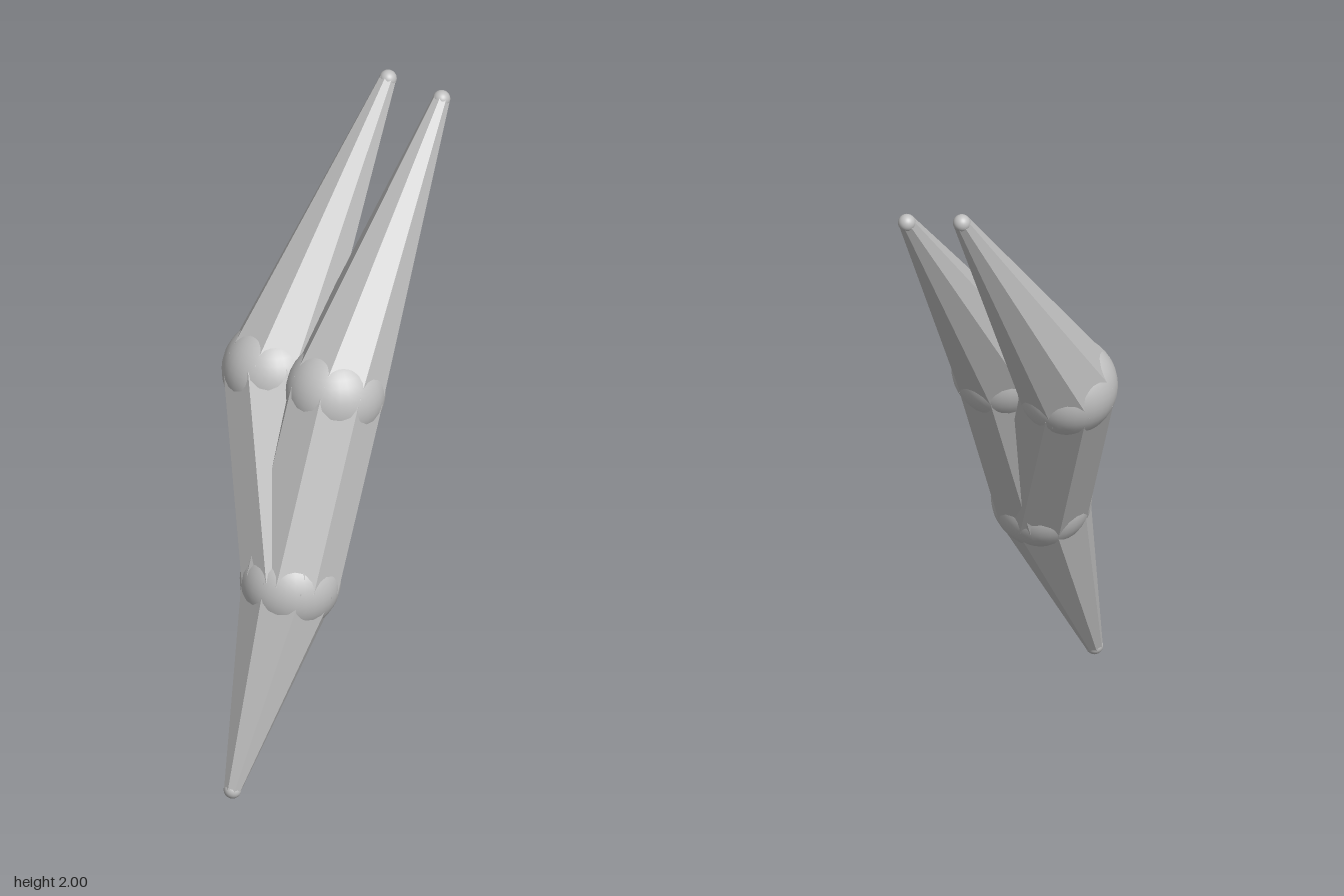
import * as THREE from 'three';

export function createModel() {
  const model = new THREE.Group();
  model.name = 'forkedBranch';
  const grey = new THREE.MeshStandardMaterial({ color: 0xc0c0c0 });
  grey.name = 'grey';
  const greyFlat = grey.clone();
  greyFlat.flatShading = true;

  // Skeleton: position and radius of every joint
  const joint = (x, y, z, r) => ({ p: new THREE.Vector3(x, y, z), r });
  const joints = {
    footTip: joint(-0.26, 0.027, 0.513, 0.027),
    fork: joint(-0.1, 0.65, 0.28, 0.155),
    rightKnee: joint(-0.18, 1.195, -0.055, 0.155),
    leftKnee: joint(0.02, 1.2, 0.06, 0.155),
    rightTip: joint(0.14, 1.973, -0.513, 0.027),
    leftTip: joint(0.308, 1.945, -0.455, 0.027),
  };

  // Smooth balls that round off each joint
  for (const [name, { p, r }] of Object.entries(joints)) {
    const ball = new THREE.Mesh(new THREE.SphereGeometry(r, 32, 20), grey);
    ball.name = name;
    ball.position.copy(p);
    model.add(ball);
  }

  // Eight-sided tapered limbs between joints; phase turns the facets
  const limb = (name, a, b, phase) => {
    const from = joints[a], to = joints[b];
    const dir = to.p.clone().sub(from.p);
    const geo = new THREE.CylinderGeometry(to.r, from.r, dir.length(), 8, 1, false,
      THREE.MathUtils.degToRad(phase));
    const mesh = new THREE.Mesh(geo, greyFlat);
    mesh.name = name;
    mesh.position.copy(from.p).add(to.p).multiplyScalar(0.5);
    mesh.quaternion.setFromUnitVectors(new THREE.Vector3(0, 1, 0), dir.normalize());
    model.add(mesh);
  };
  limb('stem', 'footTip', 'fork', 14);
  limb('rightArm', 'fork', 'rightKnee', 22);
  limb('leftArm', 'fork', 'leftKnee', 30);
  limb('rightSpike', 'rightKnee', 'rightTip', 22);
  limb('leftSpike', 'leftKnee', 'leftTip', 30);

  return model;
}
